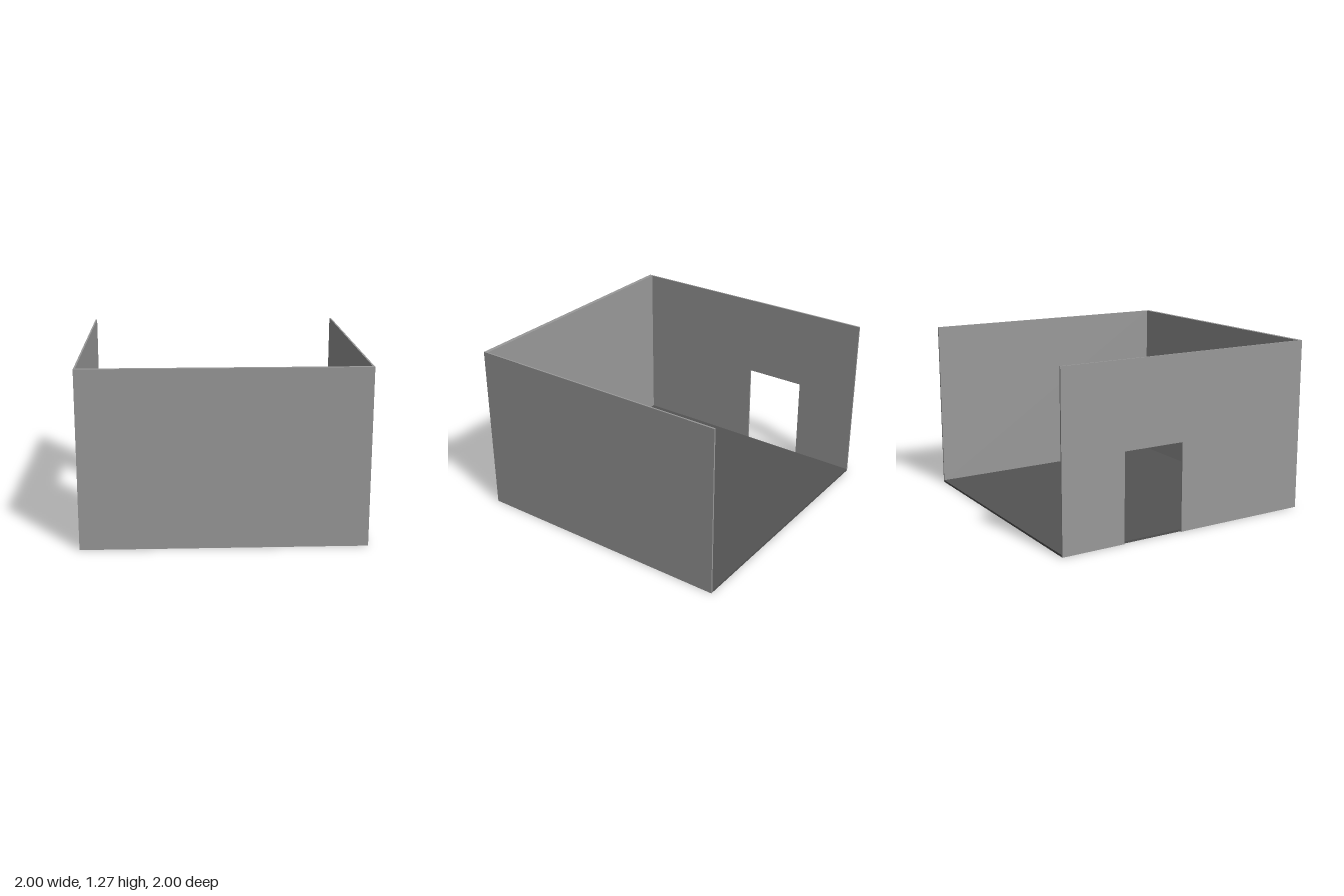
import * as THREE from 'three';

export function createModel() {
  const room = new THREE.Group();
  room.name = 'room';
  const wallGrey = new THREE.MeshStandardMaterial({ color: 0x999999 });
  wallGrey.name = 'wall grey';
  const floorGrey = new THREE.MeshStandardMaterial({ color: 0x535353 });
  floorGrey.name = 'floor grey';

  const H = 1.27, SIDE = 0.012, FRONT = 0.03, SLAB = 0.015;

  const add = (name, geometry, material, x, y, z) => {
    const mesh = new THREE.Mesh(geometry, material);
    mesh.name = name;
    mesh.position.set(x, y, z);
    room.add(mesh);
    return mesh;
  };

  // Floor slab between the walls, open at the back
  const depth = 2 - FRONT;
  add('floor', new THREE.BoxGeometry(2 - 2 * SIDE, SLAB, depth), floorGrey, 0, SLAB / 2, -FRONT / 2);

  // Thick front wall and plain left wall
  add('frontWall', new THREE.BoxGeometry(2, H, FRONT), wallGrey, 0, H / 2, 1 - FRONT / 2);
  add('leftWall', new THREE.BoxGeometry(SIDE, H, depth), wallGrey, 1 - SIDE / 2, H / 2, -FRONT / 2);

  // Right wall with a doorway; the outline is drawn in z and y, then turned upright
  const doorBack = -0.52, doorFront = -0.05, doorTop = 0.65;
  const outline = new THREE.Shape([
    [-1, 0], [doorBack, 0], [doorBack, doorTop], [doorFront, doorTop],
    [doorFront, 0], [1 - FRONT, 0], [1 - FRONT, H], [-1, H],
  ].map(([z, y]) => new THREE.Vector2(-z, y)));
  const rightWall = new THREE.ExtrudeGeometry(outline, { depth: SIDE, bevelEnabled: false });
  rightWall.rotateY(Math.PI / 2);
  add('rightWall', rightWall, wallGrey, -1, 0, 0);

  return room;
}
